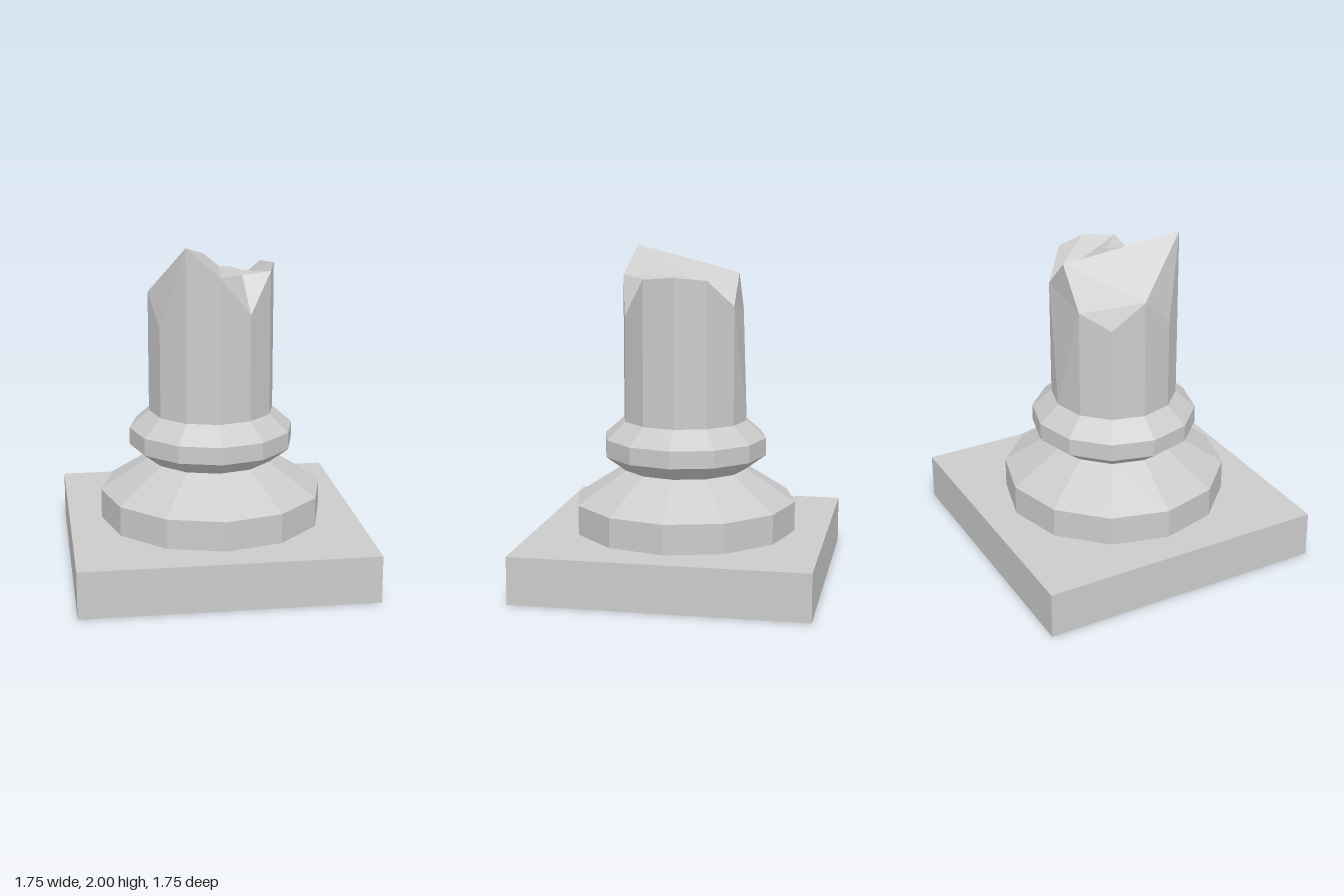
import * as THREE from 'three';

const SIDES = 12;
const RADIUS = 0.38;
const material = new THREE.MeshStandardMaterial({ color: 0xcccccc, flatShading: true });

function addMesh(group, name, geometry) {
  const mesh = new THREE.Mesh(geometry, material);
  mesh.name = name;
  group.add(mesh);
  return mesh;
}

// Twelve-sided turned section from [radius, height] pairs
function turned(profile) {
  return new THREE.LatheGeometry(profile.map(([r, y]) => new THREE.Vector2(r, y)), SIDES);
}

// Snapped column: straight shaft whose rim heights vary, closed by a jagged break
function brokenShaft(baseY) {
  const rimHeights = [1.83, 1.6, 1.83, 1.85, 1.83, 1.67, 1.855, 1.62, 1.53, 1.69, 1.5, 2];
  const ring = (i, y) => {
    const a = (i / SIDES) * Math.PI * 2;
    return [RADIUS * Math.sin(a), y, RADIUS * Math.cos(a)];
  };
  const top = rimHeights.map((y, i) => ring(i, y));
  top[6][2] = -0.33; // chipped inward at the back
  // Points inside the break
  top.push([0.05, 1.83, -0.03], [0.12, 1.835, 0.04], [0.19, 1.815, 0.05], [0.16, 1.81, 0.175]);
  const bottom = rimHeights.map((_, i) => ring(i, baseY));

  const positions = [];
  const tri = (a, b, c) => positions.push(...a, ...b, ...c);

  // Shaft panels
  for (let i = 0; i < SIDES; i++) {
    const j = (i + 1) % SIDES;
    if (i !== 6) tri(bottom[i], bottom[j], top[i]);
    if (i !== 5 && i !== 6) tri(bottom[j], top[j], top[i]);
  }
  // Chipped back face
  tri(bottom[6], bottom[7], top[7]);
  tri(top[5], bottom[6], top[7]);
  tri(top[5], top[7], top[6]);

  // Fracture facets
  const facets = [
    [9, 10, 11], [7, 8, 9], [6, 7, 9], [6, 9, 11], [6, 11, 12], [11, 0, 12],
    [5, 6, 12], [5, 12, 13], [12, 0, 13], [5, 13, 14], [13, 0, 14], [14, 0, 15],
    [0, 1, 15], [1, 2, 15], [15, 2, 14], [5, 14, 2], [5, 2, 3], [3, 4, 5],
  ];
  facets.forEach(([a, b, c]) => tri(top[a], top[b], top[c]));

  const geometry = new THREE.BufferGeometry();
  geometry.setAttribute('position', new THREE.Float32BufferAttribute(positions, 3));
  geometry.computeVertexNormals();
  return geometry;
}

export function createModel() {
  const group = new THREE.Group();
  group.name = 'brokenColumn';

  // Square plinth
  const plinth = addMesh(group, 'plinth', new THREE.BoxGeometry(1.755, 0.285, 1.755));
  plinth.position.y = 0.1425;

  // Drum with sloping shoulder, then the collar above it
  addMesh(group, 'baseDrum', turned([[0.68, 0.285], [0.68, 0.465], [RADIUS, 0.66]]));
  addMesh(group, 'collar', turned([[RADIUS, 0.66], [0.5, 0.75], [0.5, 0.855], [RADIUS, 0.96]]));

  addMesh(group, 'brokenShaft', brokenShaft(0.96));
  return group;
}
